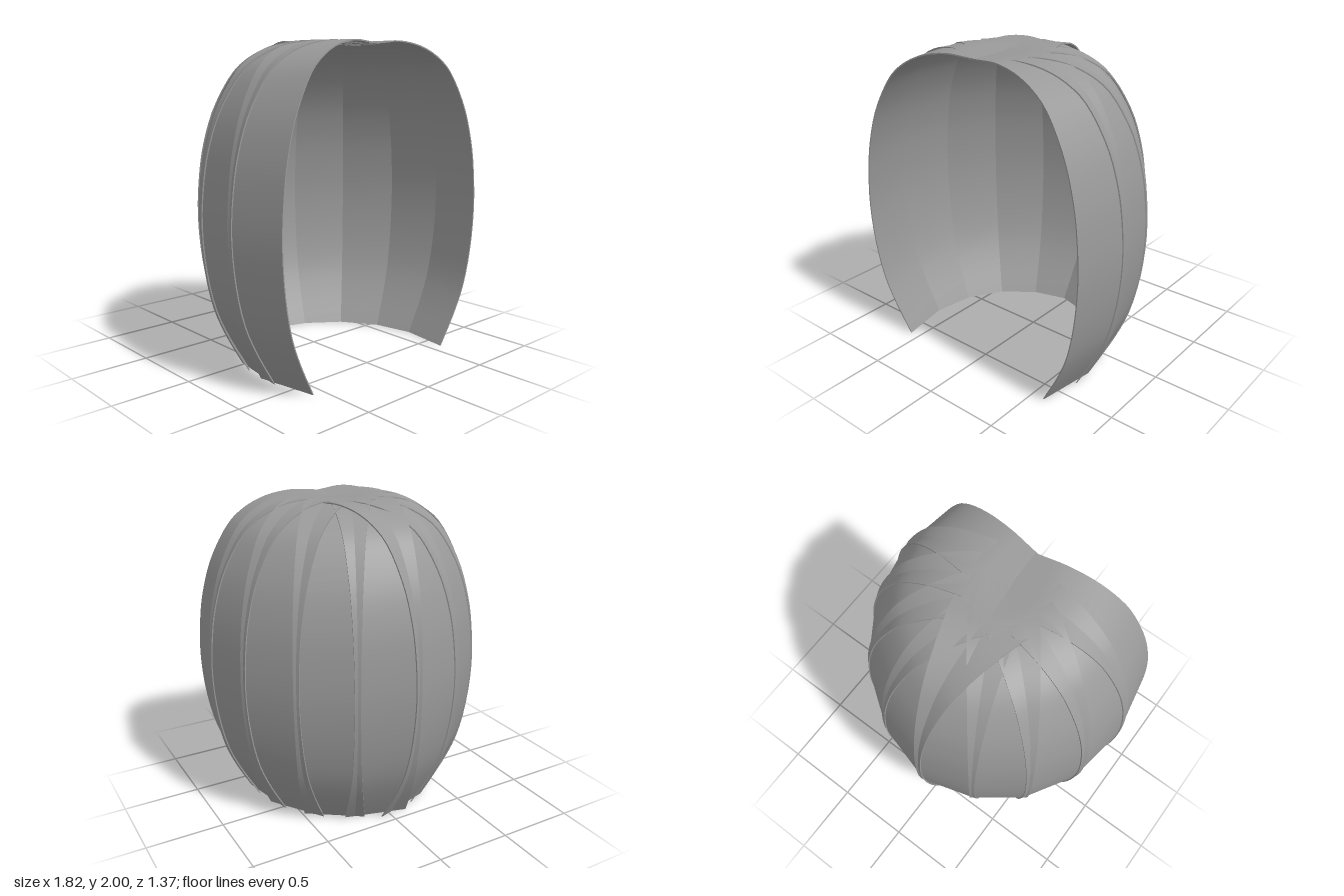
import * as THREE from 'three';
import { toCreasedNormals } from 'three/addons/utils/BufferGeometryUtils.js';

const THICKNESS = 0.008;
const OVERLAP = 0.018; // how far each lock runs past its corners

// Widest corners of the shell (x, z), from the left front edge round the back to the right
const CORNERS = [
  [0.853, 0.642], [0.905, 0.295], [0.83, -0.06], [0.625, -0.37], [0.33, -0.58], [-0.03, -0.683],
  [-0.375, -0.58], [-0.66, -0.365], [-0.85, -0.05], [-0.908, 0.315], [-0.842, 0.667],
];

// Side outline of one lock: x is the distance from its widest point, y the height
const OUTLINE = [
  [-0.265, 0], [-0.155, 0.2], [-0.072, 0.4], [-0.02, 0.65], [0, 0.93], [-0.018, 1.2],
  [-0.055, 1.4], [-0.122, 1.6], [-0.238, 1.8], [-0.355, 1.905], [-0.5, 1.972],
  [-0.66, 2], [-0.78, 1.994], [-0.9, 1.985],
];

// Thin curved strip of even width, extruded along z
function lockGeometry(width) {
  const curve = new THREE.SplineCurve(OUTLINE.map(([x, y]) => new THREE.Vector2(x, y)));
  const outer = [], inner = [];
  const steps = 40;
  for (let i = 0; i <= steps; i++) {
    const p = curve.getPoint(i / steps);
    const t = curve.getTangent(i / steps);
    p.y = Math.min(p.y, 2);
    outer.push(p);
    inner.push(new THREE.Vector2(p.x - t.y * THICKNESS, i === 0 ? 0 : p.y + t.x * THICKNESS));
  }
  const shape = new THREE.Shape([...outer, ...inner.reverse()]);
  const geometry = new THREE.ExtrudeGeometry(shape, { depth: width + 2 * OVERLAP, bevelEnabled: false });
  geometry.translate(0, 0, -OVERLAP);
  return toCreasedNormals(geometry, 0.6);
}

export function createModel() {
  const group = new THREE.Group();
  group.name = 'hair';
  const material = new THREE.MeshStandardMaterial({ color: 0x999999 });

  // One lock between each pair of corners; they overlap at the crown and the hem
  for (let i = 0; i < CORNERS.length - 1; i++) {
    const [ax, az] = CORNERS[i];
    const [bx, bz] = CORNERS[i + 1];
    const lock = new THREE.Mesh(lockGeometry(Math.hypot(ax - bx, az - bz)), material);
    lock.name = `hairLock${i + 1}`;
    lock.position.set(bx, 0, bz);
    lock.rotation.y = Math.atan2(ax - bx, az - bz);
    group.add(lock);
  }
  return group;
}
